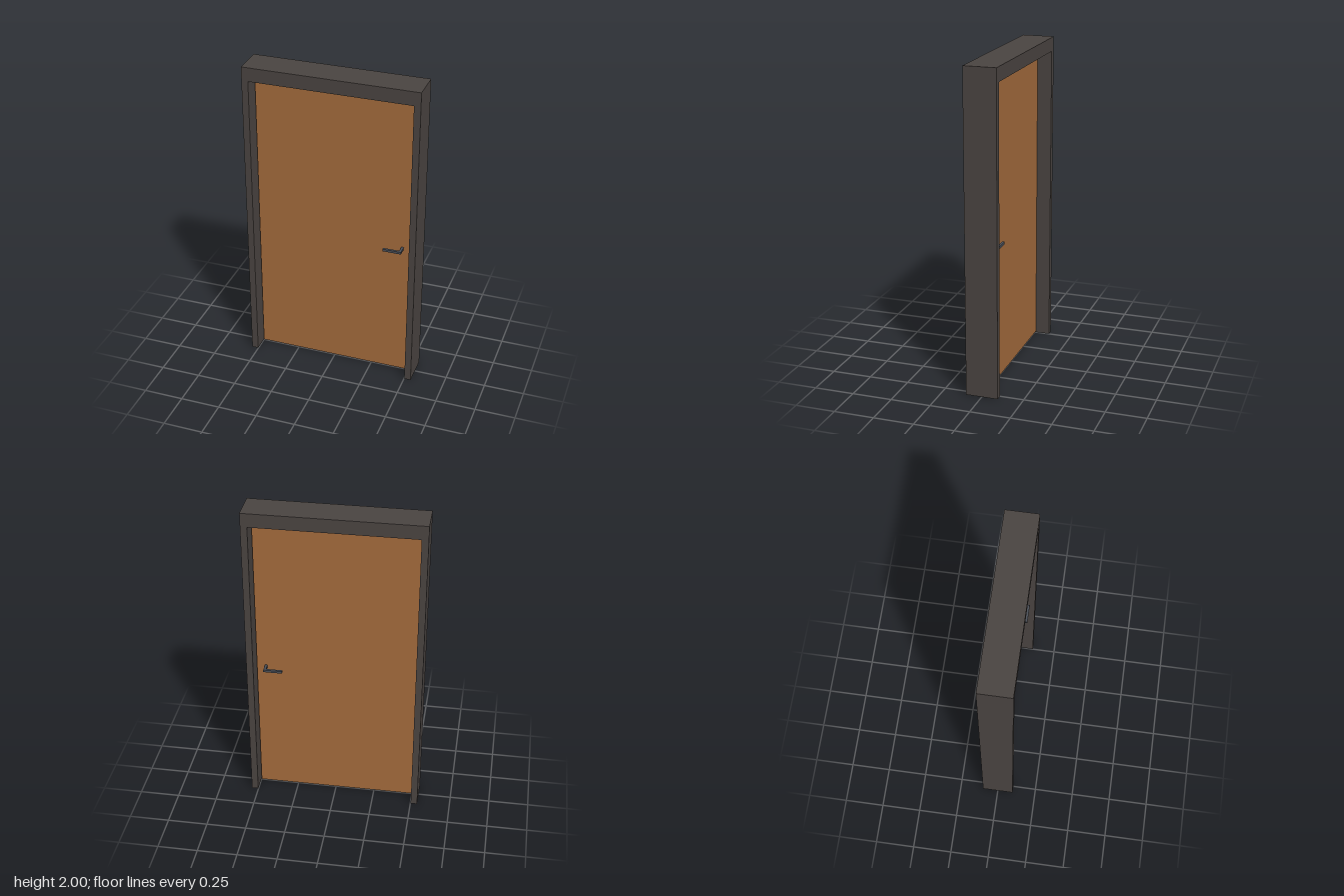
import * as THREE from 'three';

const frameMat = new THREE.MeshStandardMaterial({ color: 0x4b4542 });
const doorMat = new THREE.MeshStandardMaterial({ color: 0xa56c3d });
const handleMat = new THREE.MeshStandardMaterial({ color: 0x4b5059 });

// Box given by its minimum and maximum corners
function box(name, min, max, material) {
  const size = max.map((v, i) => v - min[i]);
  const mesh = new THREE.Mesh(new THREE.BoxGeometry(...size), material);
  mesh.position.set(...max.map((v, i) => (v + min[i]) / 2));
  mesh.name = name;
  return mesh;
}

// Lever handle standing off one face of the door; side is +1 front, -1 back
function createHandle(side) {
  const group = new THREE.Group();
  group.name = side > 0 ? 'frontHandle' : 'backHandle';
  const zSpan = (a, b) => (side > 0 ? [a, b] : [-b, -a]);
  const [s0, s1] = zSpan(0.008, 0.057);
  const [l0, l1] = zSpan(0.057, 0.072);
  group.add(
    box('handleStem', [0.43, 0.905, s0], [0.445, 0.92, s1], handleMat),
    box('handleLever', [0.328, 0.905, l0], [0.445, 0.92, l1], handleMat),
  );
  return group;
}

export function createModel() {
  const model = new THREE.Group();
  model.name = 'door';

  // Frame: two jambs and a deeper head in one outline, open at the floor
  const outline = new THREE.Shape([
    [-0.543, 0], [-0.502, 0], [-0.502, 1.913], [0.502, 1.913],
    [0.502, 0], [0.543, 0], [0.543, 2], [-0.543, 2],
  ].map(([x, y]) => new THREE.Vector2(x, y)));
  const frameGeo = new THREE.ExtrudeGeometry(outline, { depth: 0.2, bevelEnabled: false });
  frameGeo.translate(0, 0, -0.1);
  const frame = new THREE.Mesh(frameGeo, frameMat);
  frame.name = 'frame';
  model.add(frame);

  // Thin leaf with a small clearance all round
  model.add(box('doorLeaf', [-0.496, 0.01, -0.01], [0.496, 1.907, 0.01], doorMat));

  // Handles on both faces
  for (const side of [1, -1]) model.add(createHandle(side));

  return model;
}
